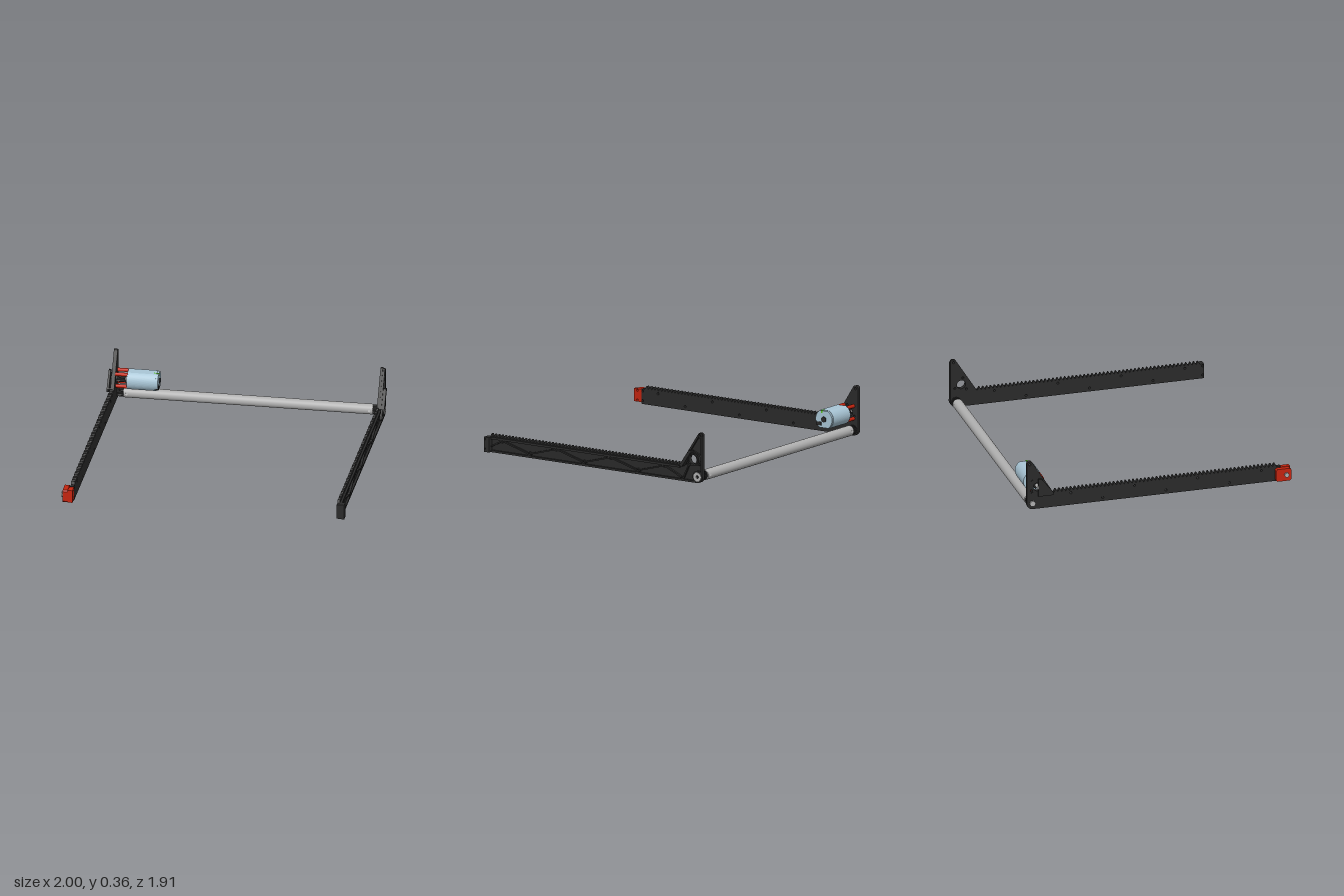
import * as THREE from 'three';

const mat = (color) => new THREE.MeshStandardMaterial({ color });

export function createModel() {
  const root = new THREE.Group();
  const black = mat(0x2a2a2a), red = mat(0xc4240f), blue = mat(0xa9c6d6);
  const steel = mat(0xb0b0b0), green = mat(0x55c020);

  const add = (name, geo, material, parent = root) => {
    const m = new THREE.Mesh(geo, material);
    m.name = name;
    parent.add(m);
    return m;
  };
  const group = (name) => {
    const g = new THREE.Group();
    g.name = name;
    root.add(g);
    return g;
  };
  const circle = (u, y, r) => new THREE.Path().absarc(u, y, r, 0, Math.PI * 2, true);
  // Side outline (u = -z, y) extruded from x0 to x1
  const slab = (shape, x0, x1) => new THREE.ExtrudeGeometry(shape, { depth: x1 - x0, bevelEnabled: false, curveSegments: 16 })
    .rotateY(Math.PI / 2).translate(x0, 0, 0);
  const poly = (pts, holes = []) => {
    const s = new THREE.Shape(pts.map((p) => new THREE.Vector2(...p)));
    holes.forEach((h) => s.holes.push(circle(...h)));
    return s;
  };
  const disc = (u, y, r, hole) => {
    const s = new THREE.Shape().absarc(u, y, r, 0, Math.PI * 2, false);
    if (hole) s.holes.push(circle(u, y, hole));
    return s;
  };
  const rod = (x0, x1, y, z, r, seg = 32) => new THREE.CylinderGeometry(r, r, x1 - x0, seg)
    .rotateZ(Math.PI / 2).translate((x0 + x1) / 2, y, z);
  const box = (x0, x1, y0, y1, z0, z1) => new THREE.BoxGeometry(x1 - x0, y1 - y0, z1 - z0)
    .translate((x0 + x1) / 2, (y0 + y1) / 2, (z0 + z1) / 2);
  const gearShape = (u, y, r, teeth) => {
    const pts = [];
    for (let i = 0; i < teeth * 4; i++) {
      const a = (i / (teeth * 4)) * Math.PI * 2, k = i % 4 < 2 ? r : r * 0.84;
      pts.push([u + Math.cos(a) * k, y + Math.sin(a) * k]);
    }
    return poly(pts);
  };

  const tubeU = 0.918, tubeY = 0.044, motorU = 0.878, motorY = 0.165;
  const railHoles = [[-0.88, 0.092], [-0.88, 0.024], [-0.75, 0.09], [-0.518, 0.026], [-0.287, 0.09],
    [-0.056, 0.026], [0.174, 0.09], [0.405, 0.026], [0.636, 0.09]];
  const uprightHoles = [[0.935, 0.338], [0.866, 0.215], [0.84, 0.128], [0.925, 0.14]];

  // Toothed rail and triangular upright share one outline
  const railShape = () => {
    const s = new THREE.Shape();
    s.moveTo(-0.89, 0.005).lineTo(-0.885, 0).lineTo(0.915, 0);
    s.absarc(0.915, 0.042, 0.042, -Math.PI / 2, 0, false);
    s.lineTo(0.957, 0.338);
    s.absarc(0.935, 0.338, 0.022, 0, Math.PI * 0.8, false);
    s.lineTo(0.765, 0.11);
    const n = 57, p = 1.62 / n;
    for (let i = 0; i < n; i++) {
      const u = 0.76 - i * p;
      s.lineTo(u, 0.108).lineTo(u - p * 0.38, 0.13).lineTo(u - p * 0.62, 0.13);
    }
    s.lineTo(-0.86, 0.108).lineTo(-0.89, 0.108);
    [...railHoles, ...uprightHoles].forEach(([u, y]) => s.holes.push(circle(u, y, 0.008)));
    s.holes.push(circle(motorU, motorY, 0.032));
    return s;
  };
  add('rightRail', slab(railShape(), -0.944, -0.917), black);
  const left = group('leftRail');
  add('leftRailPlate', slab(railShape(), 0.944, 0.961), black, left);

  // Truss ribs and bosses on the outer side of the left rail
  const rib = ([u0, y0], [u1, y1], w = 0.01) => {
    const dx = u1 - u0, dy = y1 - y0, l = Math.hypot(dx, dy);
    const nx = (-dy / l) * w / 2, ny = (dx / l) * w / 2;
    add('rib', slab(poly([[u0 - nx, y0 - ny], [u1 - nx, y1 - ny], [u1 + nx, y1 + ny], [u0 + nx, y0 + ny]]), 0.96, 0.976), black, left);
  };
  rib([-0.85, 0.1], [0.765, 0.1], 0.016);
  rib([-0.85, 0.007], [0.915, 0.007], 0.014);
  const nodes = railHoles.slice(1).concat([[0.79, 0.02]]);
  for (let i = 0; i < nodes.length - 1; i++) {
    const a = nodes[i], b = nodes[i + 1];
    const d = Math.hypot(b[0] - a[0], b[1] - a[1]), k = 0.012 / d;
    const at = (t) => [a[0] + (b[0] - a[0]) * t, a[1] + (b[1] - a[1]) * t];
    rib(at(k), at(1 - k));
  }
  [...railHoles.slice(2), ...uprightHoles].forEach(([u, y]) => add('boss', slab(disc(u, y, 0.016, 0.008), 0.96, 0.976), black, left));
  rib([0.772, 0.108], [0.921, 0.335], 0.014);
  rib([0.95, 0.05], [0.95, 0.338], 0.014);
  rib([0.79, 0.01], [0.84, 0.118]);
  rib([0.84, 0.12], [0.925, 0.13]);
  rib([0.87, 0.225], [0.95, 0.19]);
  add('motorOpeningRim', slab(disc(motorU, motorY, 0.04, 0.032), 0.96, 0.976), black, left);
  add('tubeBearing', slab(disc(tubeU, tubeY, 0.042, 0.012), 0.96, 0.976), black, left);
  add('bearingWasher', slab(disc(tubeU, tubeY, 0.032, 0.011), 0.975, 0.98), steel, left);
  add('endBlock', slab(poly([[-0.89, 0], [-0.845, 0], [-0.845, 0.108], [-0.89, 0.108]],
    [[-0.88, 0.092, 0.006], [-0.88, 0.024, 0.006]]), 0.955, 0.997), black, left);
  add('slantedFlange', slab(poly([[0.77, 0.108], [0.8, 0.108], [0.87, 0.212], [0.88, 0.212], [0.88, 0.23], [0.857, 0.23]]), 0.96, 0.997), black, left);

  // Cross tube with toothed couplings and pin holes
  add('crossTube', rod(-0.87, 0.895, tubeY, -tubeU, 0.037, 48), steel);
  for (const [x0, x1] of [[-0.917, -0.87], [0.895, 0.944]]) {
    add('coupling', slab(gearShape(tubeU, tubeY, 0.033, 18), x0, x1), black);
  }
  for (const x of [-0.848, 0.87]) {
    add('tubePin', new THREE.CylinderGeometry(0.009, 0.009, 0.076, 16).rotateX(Math.PI / 2).translate(x, tubeY, -tubeU), mat(0xe4e4e4));
  }
  add('rightTubeBolt', rod(-0.958, -0.94, tubeY, -tubeU, 0.022, 6), steel);

  // Motor with flat top and bottom
  const motor = group('motor');
  const motorShape = (r, flat) => {
    const a = Math.asin(flat / r), s = new THREE.Shape();
    s.absarc(motorU, motorY, r, -a, a, false);
    s.absarc(motorU, motorY, r, Math.PI - a, Math.PI + a, false);
    s.closePath();
    return s;
  };
  add('motorBody', slab(motorShape(0.0725, 0.063), -0.835, -0.63), blue, motor);
  add('motorEndCap', slab(motorShape(0.07, 0.06), -0.63, -0.615), blue, motor);
  add('endBearing', rod(-0.616, -0.609, motorY, -motorU, 0.02), black, motor);
  add('greenTerminal', box(-0.65, -0.611, motorY + 0.045, motorY + 0.064, -motorU + 0.01, -motorU + 0.022), green, motor);
  add('blackTerminal', box(-0.64, -0.611, motorY - 0.045, motorY - 0.02, -motorU + 0.02, -motorU + 0.06), black, motor);
  add('motorCollar', rod(-0.85, -0.83, motorY, -motorU, 0.03), steel, motor);
  add('pinion', slab(gearShape(motorU, motorY, 0.026, 14), -0.915, -0.855), black, motor);
  add('motorShaft', rod(-0.965, -0.83, motorY, -motorU, 0.012, 20), steel, motor);
  for (const [u, y] of [[0.918, 0.212], [0.838, 0.212], [0.918, 0.122], [0.838, 0.122]]) {
    add('standoff', rod(-0.918, -0.83, y, -u, 0.013, 20), red, motor);
    add('standoffBolt', rod(-0.95, -0.94, y, -u, 0.009, 6), black, motor);
  }

  // Outer guard plate behind the motor
  add('guardPlate', slab(poly([[0.77, 0.1], [0.88, 0.1], [0.88, 0.23], [0.857, 0.23], [0.77, 0.12]]), -0.97, -0.955), black);
  for (const [u, y] of [[0.866, 0.215], [0.79, 0.115]]) add('guardSpacer', rod(-0.957, -0.942, y, -u, 0.01, 16), black);

  // Red tensioner at the front of the right rail
  const tensioner = group('tensioner');
  const bolts = [[-0.925, 0.092], [-0.925, 0.024]];
  add('tensionerInner', slab(poly([[-0.955, 0.012], [-0.89, 0.012], [-0.89, 0.104], [-0.955, 0.104]],
    bolts.map((b) => [...b, 0.007])), -0.95, -0.917), red, tensioner);
  add('tensionerOuter', slab(poly([[-0.955, 0.02], [-0.945, 0.01], [-0.855, 0.01], [-0.845, 0.02], [-0.845, 0.09],
    [-0.855, 0.102], [-0.945, 0.102], [-0.955, 0.092]]), -0.987, -0.953), red, tensioner);
  add('tensionerWeb', box(-0.955, -0.948, 0.03, 0.085, 0.86, 0.945), black, tensioner);
  add('tensionerBolt', rod(-1, -0.985, 0.057, 0.92, 0.018, 6), steel, tensioner);
  return root;
}
